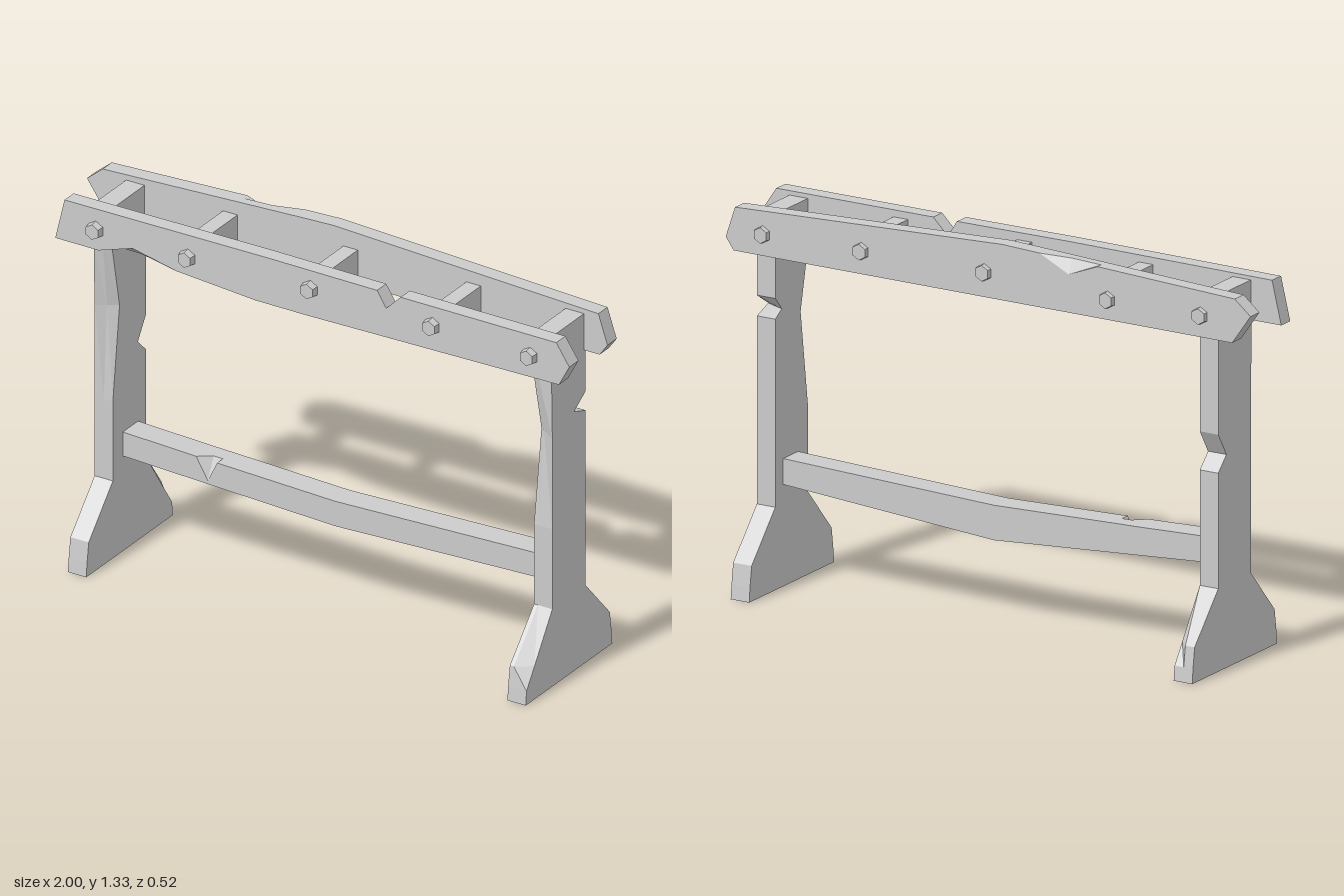
import * as THREE from 'three';

const material = new THREE.MeshStandardMaterial({ color: 0xcccccc, flatShading: true });

// Joins outlines of equal point count (counter-clockwise u,v) at rising depths into a closed solid.
function slab(name, layers, place = (u, v, d) => [u, v, d]) {
  const pos = [];
  const n = layers[0][1].length;
  const put = (l, i) => pos.push(...place(...layers[l][1][i % n], layers[l][0]));
  const cap = (l, flip) => {
    const pts = layers[l][1].map(p => new THREE.Vector2(...p));
    for (const [a, b, c] of THREE.ShapeUtils.triangulateShape(pts, [])) {
      (flip ? [a, c, b] : [a, b, c]).forEach(i => put(l, i));
    }
  };
  cap(0, true);
  cap(layers.length - 1, false);
  for (let l = 0; l < layers.length - 1; l++) {
    for (let i = 0; i < n; i++) {
      put(l, i); put(l, i + 1); put(l + 1, i + 1);
      put(l, i); put(l + 1, i + 1); put(l + 1, i);
    }
  }
  const geo = new THREE.BufferGeometry();
  geo.setAttribute('position', new THREE.Float32BufferAttribute(pos, 3));
  geo.computeVertexNormals();
  const mesh = new THREE.Mesh(geo, material);
  mesh.name = name;
  return mesh;
}

// Leg outline in (-z, y): flared foot, notch in the back edge, optional chips.
function legOutline({ notch, tip = 0.03, frontCut = 0.1, frontFoot = 0.245, backFoot = 0.245 }) {
  return [
    [-0.26, 0], [0.26, 0], [0.255, 0.05], [backFoot, 0.12], [0.1, 0.28],
    [0.1, notch[0]], [tip, notch[1]], [0.1, notch[2]],
    [0.1, 1.27], [-0.105, 1.27], [-0.105, 1.13], [-frontCut, 0.9], [-0.1, 0.57],
    [-0.1, 0.28], [-frontFoot, 0.12], [-0.255, 0.05],
  ];
}
const alongX = (u, v, d) => [d, v, -u];

// Front rail outline, with a chip of given height under its left part.
const frontRail = chip => [
  [-0.965, 1.135], [-0.8, 1.135], [-0.67, chip], [-0.5, chip > 1.14 ? 1.142 : 1.13], [-0.2, 1.12], [0, 1.12],
  [0.96, 1.135], [1, 1.21], [0.95, 1.285], [0.355, 1.285], [0.3, 1.23], [0.265, 1.285],
  [-0.16, 1.287], [-0.93, 1.282],
];

// Back rail outline, arched, with a chip in its top edge.
const backRail = chip => [
  [-0.93, 1.135], [0.96, 1.138], [0.99, 1.18], [0.955, 1.285], [-0.06, 1.325],
  [-0.2, 1.319], [-0.31, chip], [-0.42, 1.309], [-0.94, 1.285], [-1, 1.235],
];

// Sagging lower beam outline, with a wedge cut in the front top edge.
const beam = (middle, wedge) => [
  [-0.79, 0.345], [0.03, middle], [0.84, 0.345], [0.84, 0.432], [0.03, 0.405],
  [-0.42, 0.419], [-0.455, wedge], [-0.5, 0.421], [-0.79, 0.432],
];

export function createModel() {
  const group = new THREE.Group();

  // Legs
  const leftNotch = [0.915, 0.94, 0.985];
  const rightNotch = [0.67, 0.72, 0.8];
  group.add(slab('leftLeg', [
    [0.83, legOutline({ notch: leftNotch, tip: 0.06, frontCut: 0.055 })],
    [0.845, legOutline({ notch: leftNotch, tip: 0.055, frontCut: 0.065 })],
    [0.9, legOutline({ notch: leftNotch, frontFoot: 0.207 })],
  ], alongX));
  group.add(slab('rightLeg', [
    [-0.85, legOutline({ notch: rightNotch, tip: 0.05 })],
    [-0.815, legOutline({ notch: rightNotch, tip: 0.05, frontCut: 0.08 })],
    [-0.78, legOutline({ notch: rightNotch, tip: 0.05, frontCut: 0.06, backFoot: 0.207 })],
  ], alongX));

  // Rails and lower beam
  group.add(slab('frontRail', [[0.1, frontRail(1.134)], [0.155, frontRail(1.178)]]));
  group.add(slab('backRail', [
    [-0.145, backRail(1.265)], [-0.122, backRail(1.314)], [-0.09, backRail(1.314)],
  ]));
  group.add(slab('lowerBeam', [
    [-0.052, beam(0.287, 0.42)], [0.005, beam(0.303, 0.42)], [0.04, beam(0.315, 0.345)],
  ]));

  // Crossbars between the rails
  for (const x of [-0.452, 0.008, 0.478]) {
    const bar = new THREE.Mesh(new THREE.BoxGeometry(0.055, 0.11, 0.2), material);
    bar.position.set(x, 1.206, 0.005);
    bar.name = 'crossbar';
    group.add(bar);
  }

  // Hexagonal bolts on both rails
  const bolts = [[-0.81, 1.208], [-0.458, 1.204], [0.01, 1.22], [0.476, 1.215], [0.85, 1.21]];
  for (const [x, y] of bolts) {
    for (const [front, z] of [[true, 0.163], [false, -0.145]]) {
      const geo = new THREE.CylinderGeometry(front ? 0.027 : 0.032, front ? 0.032 : 0.027, 0.032, 6);
      const bolt = new THREE.Mesh(geo.rotateX(Math.PI / 2), material);
      bolt.position.set(x, y, z);
      bolt.name = front ? 'frontBolt' : 'backBolt';
      group.add(bolt);
    }
  }
  return group;
}
